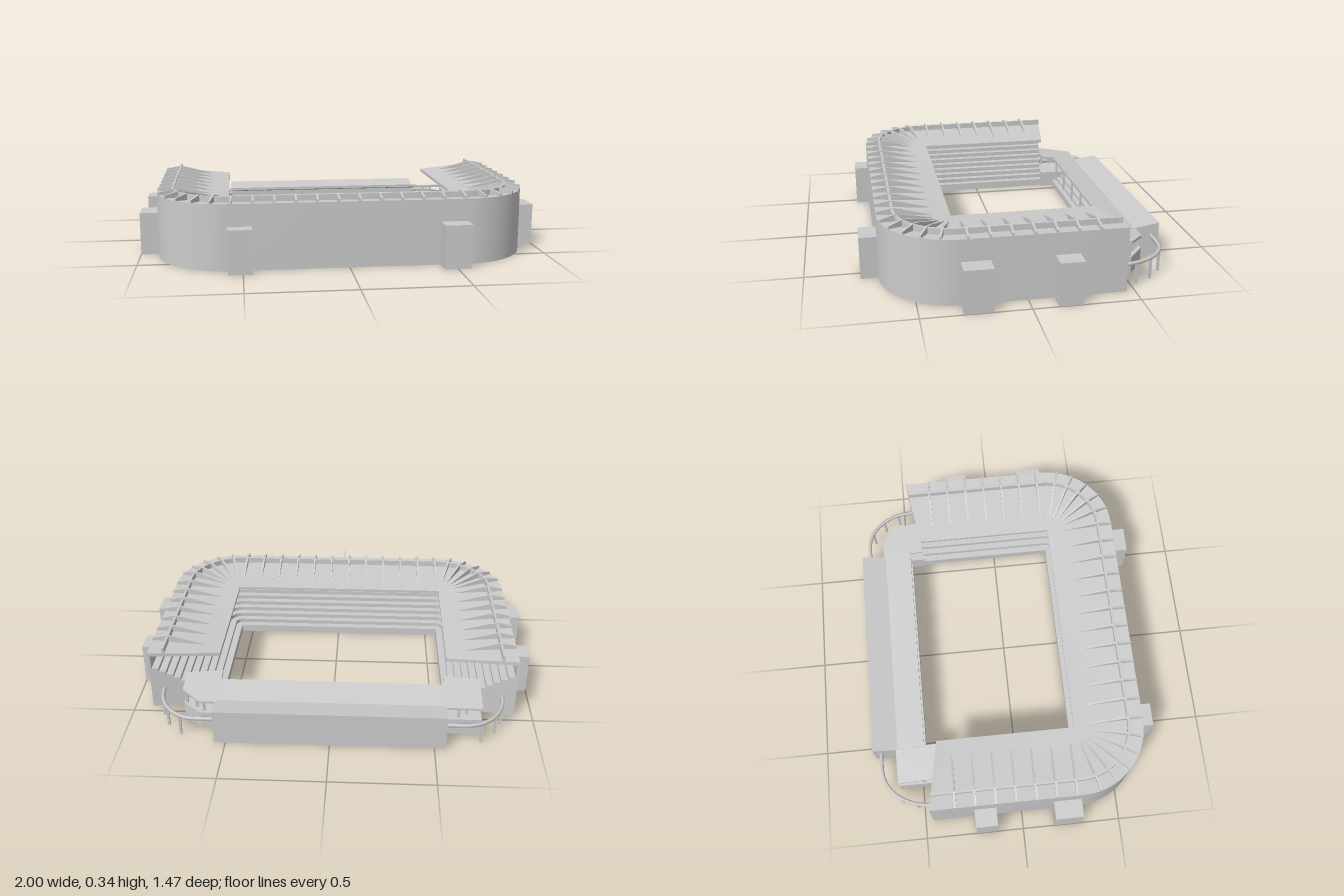
import * as THREE from 'three';
import { toCreasedNormals } from 'three/addons/utils/BufferGeometryUtils.js';

const mat = new THREE.MeshStandardMaterial({ color: 0xcccccc });
const matThin = new THREE.MeshStandardMaterial({ color: 0xcccccc, side: THREE.DoubleSide });

// A station is a base point on the pitch edge plus an outward direction
const station = (x, z, dx, dz) => ({ x, z, dx, dz });
const at = (s, [r, y]) => new THREE.Vector3(s.x + s.dx * r, y, s.z + s.dz * r);

// Sweep a counter-clockwise (distance outward, height) section along stations, with end caps
function sweep(profile, stations) {
  const pos = [];
  const tri = (a, b, c) => {
    const n = b.clone().sub(a).cross(c.clone().sub(a));
    if (n.length() > 1e-9) pos.push(...a.toArray(), ...b.toArray(), ...c.toArray());
  };
  for (let k = 0; k < stations.length - 1; k++) {
    const s = stations[k], t = stations[k + 1];
    profile.forEach((p, i) => {
      const q = profile[(i + 1) % profile.length];
      tri(at(s, p), at(t, p), at(t, q));
      tri(at(s, p), at(t, q), at(s, q));
    });
  }
  const first = stations[0], last = stations[stations.length - 1];
  const flat = profile.map(p => new THREE.Vector2(...p));
  for (const [a, b, c] of THREE.ShapeUtils.triangulateShape(flat, [])) {
    tri(at(first, profile[a]), at(first, profile[b]), at(first, profile[c]));
    tri(at(last, profile[a]), at(last, profile[c]), at(last, profile[b]));
  }
  const g = new THREE.BufferGeometry();
  g.setAttribute('position', new THREE.Float32BufferAttribute(pos, 3));
  return toCreasedNormals(g, 0.35);
}

// Stepped seating from (r1, y1) at the top down to (r0, y0) at the pitch
function steps(r1, y1, r0, y0, n) {
  const out = [];
  for (let i = 0; i < n; i++) {
    const ra = r1 + (r0 - r1) * i / n, rb = r1 + (r0 - r1) * (i + 1) / n;
    const y = y1 + (y0 - y1) * i / (n - 1);
    out.push([ra, y], [rb, y]);
  }
  return out;
}

// U-shaped path: right wing, rounded corner, front, rounded corner, left wing
function uPath() {
  const list = [station(-0.56, -0.4, -1, -0.17)];
  for (let i = 0; i <= 14; i++) {
    const a = i / 14 * Math.PI / 2;
    list.push(station(-0.56, 0.3, -Math.cos(a), Math.sin(a)));
  }
  const mirror = list.map(s => station(-s.x, s.z, -s.dx, s.dz)).reverse();
  return [...list, ...mirror];
}

export function createModel() {
  const root = new THREE.Group();
  const add = (name, geo, m = mat, parent = root) => {
    const mesh = new THREE.Mesh(geo, m);
    mesh.name = name;
    parent.add(mesh);
    return mesh;
  };
  const box = (name, x0, x1, y0, y1, z0, z1, parent) => {
    const b = add(name, new THREE.BoxGeometry(x1 - x0, y1 - y0, z1 - z0), mat, parent);
    b.position.set((x0 + x1) / 2, (y0 + y1) / 2, (z0 + z1) / 2);
    return b;
  };

  // Main bowl with outer wall and terraces
  const path = uPath();
  add('mainStand', sweep([[0, 0], [0.35, 0], [0.35, 0.315], [0.338, 0.315],
    ...steps(0.338, 0.225, 0, 0.04, 10)], path));
  add('mainRoof', sweep([[0, 0.275], [0.35, 0.298], [0.35, 0.317], [0, 0.29]], path));
  add('roofRingBeam', sweep([[0.268, 0.3], [0.28, 0.3], [0.28, 0.34], [0.268, 0.34]], path));

  // Tapered roof fins
  const finShape = new THREE.Shape([[0.08, 0.28], [0.35, 0.305], [0.35, 0.33], [0.275, 0.344],
    [0.24, 0.338], [0.08, 0.295]].map(p => new THREE.Vector2(...p)));
  const finGeo = new THREE.ExtrudeGeometry(finShape, { depth: 0.01, bevelEnabled: false });
  finGeo.translate(0, 0, -0.005);
  const fins = new THREE.Group();
  fins.name = 'roofFins';
  root.add(fins);
  const fin = (x, z, dx, dz) => {
    const f = add('roofFin', finGeo, mat, fins);
    f.position.set(x, 0, z);
    f.rotation.y = Math.atan2(-dz, dx);
  };
  for (let i = 0; i < 12; i++) fin(-0.55 + i * 0.1, 0.3, 0, 1);
  for (const s of [-1, 1]) {
    for (let i = 0; i < 7; i++) fin(s * 0.56, -0.33 + i * 0.1, s, 0);
    for (let i = 1; i < 6; i++) {
      const a = i * Math.PI / 12;
      fin(s * 0.56, 0.3, s * Math.cos(a), Math.sin(a));
    }
  }

  // Low rear stand with folded roof
  const back = [station(0.555, -0.47, 0, -1), station(-0.555, -0.47, 0, -1)];
  add('rearStand', sweep([[0, 0], [0.268, 0], [0.268, 0.165], [0.14, 0.145],
    ...steps(0.14, 0.085, 0, 0.035, 5)], back));
  add('rearRoof', sweep([[0, 0.17], [0.14, 0.14], [0.268, 0.158], [0.268, 0.176],
    [0.14, 0.155], [0, 0.184]], back));
  for (let i = 0; i < 7; i++) {
    const x = -0.54 + i * 0.18;
    box('rearRoofPost', x - 0.005, x + 0.005, 0.03, 0.165, -0.5, -0.49);
  }

  // Rear corner pavilions: base, posts and sloped canopy
  const corners = {
    '-1': [[0.55, -0.62], [0.73, -0.62], [0.73, -0.42], [0.55, -0.4]],
    '1': [[0.55, -0.62], [0.635, -0.62], [0.73, -0.54], [0.73, -0.42], [0.55, -0.4]],
  };
  for (const s of [-1, 1]) {
    const g = new THREE.Group();
    g.name = s > 0 ? 'leftRearCorner' : 'rightRearCorner';
    root.add(g);
    const shape = new THREE.Shape(corners[s].map(([x, z]) => new THREE.Vector2(s * x, -z)));
    const prism = h => new THREE.ExtrudeGeometry(shape, { depth: h, bevelEnabled: false }).rotateX(-Math.PI / 2);
    add('cornerBase', prism(0.085), mat, g);
    const canopy = prism(0.012);
    const p = canopy.attributes.position;
    for (let i = 0; i < p.count; i++) p.setY(i, p.getY(i) + 0.14 + (p.getZ(i) + 0.62) * 0.17);
    canopy.computeVertexNormals();
    add('cornerCanopy', canopy, mat, g);
    for (const [x, z] of [[0.62, -0.6], [0.66, -0.57], [0.715, -0.535], [0.715, -0.49], [0.715, -0.44]])
      box('cornerPost', s * x - 0.006, s * x + 0.006, 0.08, 0.15, z - 0.006, z + 0.006, g);

    // Curved elevated walkway rail on thin posts
    const pts = [new THREE.Vector3(s * 0.55, 0.11, -0.7)];
    for (let i = 0; i <= 10; i++) {
      const a = i / 10 * Math.PI / 2;
      pts.push(new THREE.Vector3(s * (0.64 + 0.205 * Math.sin(a)), 0.11 - 0.006 * i / 10, -0.45 - 0.25 * Math.cos(a)));
    }
    const curve = new THREE.CatmullRomCurve3(pts);
    add('curvedRail', new THREE.TubeGeometry(curve, 32, 0.01, 6), matThin, g);
    for (const t of [0.4, 0.62, 0.82]) {
      const q = curve.getPointAt(t);
      box('railPost', q.x - 0.006, q.x + 0.006, 0, 0.11, q.z - 0.006, q.z + 0.006, g);
    }
  }

  // Stair towers around the outer wall
  for (const [x0, x1, z0, z1] of [
    [-1, -0.88, -0.24, -0.13], [-1, -0.88, 0.16, 0.3],
    [0.88, 1, -0.235, -0.12], [0.88, 1, 0.17, 0.305],
    [-0.57, -0.455, 0.61, 0.72], [0.435, 0.565, 0.61, 0.735],
  ]) box('stairTower', x0, x1, 0, 0.21, z0, z1);

  return root;
}
